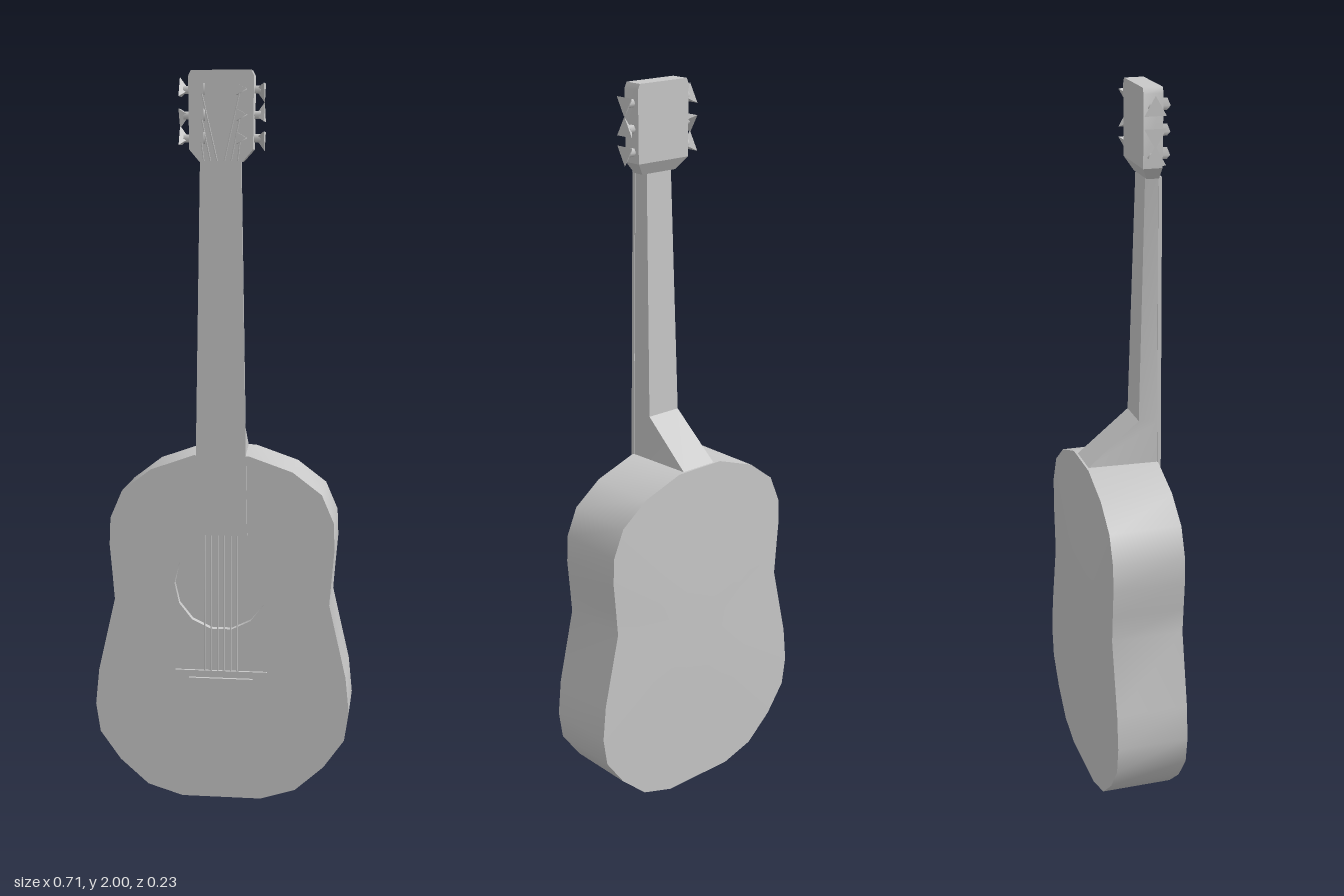
import * as THREE from 'three';
import { toCreasedNormals } from 'three/addons/utils/BufferGeometryUtils.js';

const grey = new THREE.MeshStandardMaterial({ color: 0xc8c8c8 });
grey.name = 'plain grey';

function add(parent, name, geometry, x = 0, y = 0, z = 0) {
  const mesh = new THREE.Mesh(geometry, grey);
  mesh.name = name;
  mesh.position.set(x, y, z);
  parent.add(mesh);
  return mesh;
}

// Symmetric outline from right-hand points listed bottom to top
function mirrored(half) {
  const right = half.map(([x, y]) => new THREE.Vector2(x, y));
  const left = half.map(([x, y]) => new THREE.Vector2(-x, y)).reverse();
  return right.concat(left);
}

function plate(points, depth, hole) {
  const shape = new THREE.Shape(points);
  if (hole) shape.holes.push(new THREE.Path(hole));
  const g = new THREE.ExtrudeGeometry(shape, { depth, bevelEnabled: false });
  return toCreasedNormals(g, 0.75);
}

// Solid through four-sided rings: [y, front half width, back half width, front z, back z]
function loft(rings) {
  const pos = [], idx = [];
  for (const [y, f, b, zf, zb] of rings) pos.push(-f, y, zf, f, y, zf, b, y, zb, -b, y, zb);
  for (let r = 0; r < rings.length - 1; r++) {
    for (let i = 0; i < 4; i++) {
      const a = r * 4 + i, c = r * 4 + (i + 1) % 4;
      idx.push(a, c, c + 4, a, c + 4, a + 4);
    }
  }
  const t = (rings.length - 1) * 4;
  idx.push(0, 2, 1, 0, 3, 2, t, t + 1, t + 2, t, t + 2, t + 3);
  const g = new THREE.BufferGeometry();
  g.setAttribute('position', new THREE.Float32BufferAttribute(pos, 3));
  g.setIndex(idx);
  return toCreasedNormals(g, 0.5);
}

// Gently domed back: rim, one inner ring and a centre point
function domedBack(outline, cy) {
  const n = outline.length, pos = [], idx = [];
  for (const [s, z] of [[1, -0.11], [0.5, -0.115]]) {
    for (const p of outline) pos.push(p.x * s, cy + (p.y - cy) * s, z);
  }
  pos.push(0, cy, -0.118);
  for (let i = 0; i < n; i++) {
    const j = (i + 1) % n;
    idx.push(i, n + j, j, i, n + i, n + j, n + i, 2 * n, n + j);
  }
  const g = new THREE.BufferGeometry();
  g.setAttribute('position', new THREE.Float32BufferAttribute(pos, 3));
  g.setIndex(idx);
  g.computeVertexNormals();
  return g;
}

function wire(a, b) {
  const line = new THREE.LineCurve3(new THREE.Vector3(...a), new THREE.Vector3(...b));
  return new THREE.TubeGeometry(line, 1, 0.002, 5);
}

export function createModel() {
  const guitar = new THREE.Group();
  guitar.name = 'guitar';

  // Body with a shallow sound hole
  const outline = mirrored([
    [0.11, 0], [0.207, 0.03], [0.286, 0.1], [0.343, 0.18], [0.355, 0.26], [0.345, 0.36],
    [0.298, 0.565], [0.304, 0.64], [0.311, 0.72], [0.308, 0.795], [0.275, 0.872],
    [0.195, 0.933], [0.075, 0.975],
  ]);
  const hole = [];
  for (let i = 0; i < 14; i++) {
    const a = (i + 0.5) / 14 * Math.PI * 2 - Math.PI / 2;
    hole.push(new THREE.Vector2(0.13 * Math.cos(a), 0.615 + 0.13 * Math.sin(a)));
  }
  add(guitar, 'body', plate(outline, 0.2, hole), 0, 0, -0.11);
  add(guitar, 'back', domedBack(outline, 0.5));
  add(guitar, 'soundHoleFloor', new THREE.CircleGeometry(0.14, 14), 0, 0.615, 0.07);

  // Neck with its heel, and the fretboard on top
  add(guitar, 'neck', loft([
    [0.97, 0.067, 0.055, 0.091, -0.11],
    [1.095, 0.065, 0.052, 0.091, 0.04],
    [1.77, 0.054, 0.042, 0.091, 0.057],
  ]));
  add(guitar, 'fretboard', loft([
    [0.755, 0.072, 0.072, 0.099, 0.089],
    [1.765, 0.055, 0.055, 0.099, 0.089],
  ]));

  // Head, tapering into the neck
  add(guitar, 'head', loft([
    [1.762, 0.057, 0.057, 0.09, 0.057],
    [1.795, 0.085, 0.085, 0.09, 0.038],
    [1.985, 0.087, 0.087, 0.09, 0.037],
    [2.0, 0.08, 0.08, 0.09, 0.037],
  ]));

  // Bridge and saddle
  add(guitar, 'bridge', plate(mirrored([[0.11, 0.31], [0.128, 0.37]]), 0.009), 0, 0, 0.089);
  add(guitar, 'saddle', new THREE.BoxGeometry(0.178, 0.018, 0.012), 0, 0.342, 0.101);

  // Strings, posts and tuning pegs
  const rows = [1.95, 1.884, 1.824];
  for (const side of [-1, 1]) {
    rows.forEach((y, i) => {
      const x = side * (0.009 + i * 0.018);
      add(guitar, 'string', wire([x, 0.365, 0.095], [x, 0.76, 0.095]));
      add(guitar, 'headString', wire([x, 1.762, 0.095], [side * 0.052, y, 0.1]));

      const post = new THREE.CylinderGeometry(0.018, 0.018, 0.03, 3).rotateX(Math.PI / 2);
      post.rotateZ(side * Math.PI / 2);
      add(guitar, 'post', post, side * 0.052, y, 0.1);

      const peg = new THREE.Group();
      peg.name = 'tuningPeg';
      peg.position.set(0, y, 0.061);
      add(peg, 'pegShaft', new THREE.CylinderGeometry(0.012, 0.012, 0.02, 6).rotateZ(Math.PI / 2), side * 0.093);
      const knob = new THREE.CylinderGeometry(0.034, 0.009, 0.018, 3).toNonIndexed();
      knob.computeVertexNormals();
      knob.rotateY(i === 1 ? -Math.PI / 2 : Math.PI / 2);
      knob.rotateZ(-side * Math.PI / 2);
      add(peg, 'pegKnob', knob, side * 0.104);
      guitar.add(peg);
    });
  }
  return guitar;
}
